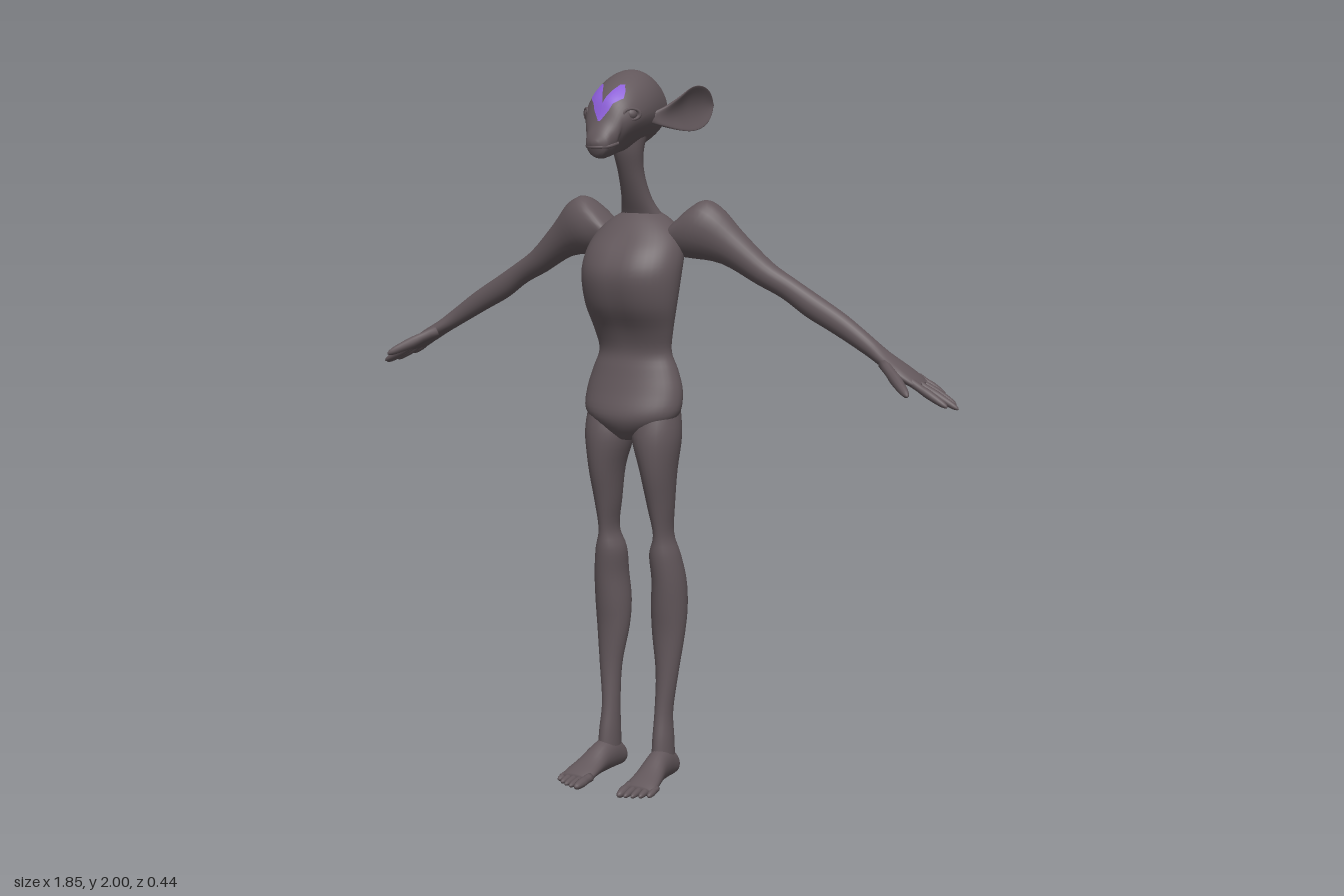
import * as THREE from 'three';

const X = [1, 0, 0], Y = [0, 1, 0], Z = [0, 0, 1];
const skin = new THREE.MeshStandardMaterial({ color: 0x62575b });
skin.name = 'dusky skin';
const violet = new THREE.MeshStandardMaterial({ color: 0x8a5cd6, side: THREE.DoubleSide });
violet.name = 'violet mark';

// Smooth interpolation through a list of equal-length number rows
function sample(rows, t) {
  const f = t * (rows.length - 1), i = Math.min(Math.floor(f), rows.length - 2), k = f - i;
  const at = (j) => rows[Math.max(0, Math.min(rows.length - 1, j))];
  const [a, b, c, d] = [at(i - 1), at(i), at(i + 1), at(i + 2)];
  return b.map((_, n) => b[n] + 0.5 * k * (c[n] - a[n]
    + k * (2 * a[n] - 5 * b[n] + 4 * c[n] - d[n] + k * (3 * (b[n] - c[n]) + d[n] - a[n]))));
}

// Skin elliptical sections [x, y, z, radiusU, radiusV] lying in the plane of U and V
function loft(name, rows, u, v, { seg = 24, sub = 4, warp = null, side = 1 } = {}) {
  rows = rows.map(([x, ...rest]) => [x * side, ...rest]);
  const U = new THREE.Vector3(u[0] * side, u[1], u[2]).normalize();
  const V = new THREE.Vector3(v[0] * side, v[1], v[2]).normalize();
  const first = new THREE.Vector3(...rows[0].slice(0, 3));
  const last = new THREE.Vector3(...rows[rows.length - 1].slice(0, 3));
  if (U.clone().cross(V).dot(last.clone().sub(first)) < 0) V.negate();
  const pos = [], idx = [], n = (rows.length - 1) * sub;
  for (let i = 0; i <= n; i++) {
    const [x, y, z, ru, rv] = sample(rows, i / n);
    for (let j = 0; j < seg; j++) {
      const a = (j / seg) * Math.PI * 2;
      const p = new THREE.Vector3(x, y, z)
        .addScaledVector(U, Math.max(ru, 0.001) * Math.cos(a))
        .addScaledVector(V, Math.max(rv, 0.001) * Math.sin(a));
      if (warp) warp(p, a, i / n);
      pos.push(p.x, p.y, p.z);
      if (i < n) {
        const k = i * seg + j, l = i * seg + (j + 1) % seg;
        idx.push(k, l, l + seg, k, l + seg, k + seg);
      }
    }
  }
  // Rounded-off ends
  pos.push(first.x, first.y, first.z, last.x, last.y, last.z);
  const c0 = (n + 1) * seg;
  for (let j = 0; j < seg; j++) {
    const k = (j + 1) % seg;
    idx.push(c0, k, j, c0 + 1, n * seg + j, n * seg + k);
  }
  const g = new THREE.BufferGeometry();
  g.setAttribute('position', new THREE.Float32BufferAttribute(pos, 3));
  g.setIndex(idx);
  g.computeVertexNormals();
  const mesh = new THREE.Mesh(g, skin);
  mesh.name = name;
  return mesh;
}

// Tapered finger or toe
function digit(name, a, b, r, side) {
  const d = b.map((n, i) => n - a[i]);
  const along = (t, k) => [...a.map((n, i) => n + d[i] * t), r * k, r * k];
  const rows = [along(0, 1), along(0.3, 0.9), along(0.5, 1), along(0.8, 0.8), along(0.95, 0.5), along(1, 0.1)];
  const D = new THREE.Vector3(...d), U = D.clone().cross(new THREE.Vector3(0.1, 1, 0)).normalize();
  return loft(name, rows, U.toArray(), D.cross(U).normalize().toArray(), { seg: 10, sub: 2, side });
}

// Torso from [y, half width, front z, back z]
function torso() {
  const rows = [
    [0.985, 0.03, 0.06, -0.03], [1.02, 0.1, 0.088, -0.055], [1.06, 0.143, 0.098, -0.07],
    [1.12, 0.147, 0.078, -0.077], [1.18, 0.13, 0.06, -0.07], [1.23, 0.112, 0.05, -0.056],
    [1.29, 0.122, 0.07, -0.052], [1.36, 0.138, 0.11, -0.062], [1.44, 0.147, 0.128, -0.085],
    [1.5, 0.145, 0.108, -0.104], [1.55, 0.128, 0.068, -0.11], [1.59, 0.09, 0.03, -0.1], [1.615, 0.045, 0, -0.08],
  ].map(([y, w, f, b]) => [0, y, (f + b) / 2, w, (f - b) / 2]);
  // Spine furrow and breastbone hollow
  const warp = (p) => {
    const band = THREE.MathUtils.smoothstep(p.y, 1.2, 1.36) * (1 - THREE.MathUtils.smoothstep(p.y, 1.52, 1.6));
    const groove = band * Math.exp(-((p.x / 0.035) ** 2));
    p.z += p.z < 0 ? groove * 0.028 : -groove * 0.006;
  };
  return loft('torso', rows, X, Z, { seg: 40, warp });
}

function head() {
  // [z, top, bottom, half width]
  const rows = [
    [-0.098, 1.89, 1.86, 0.012], [-0.085, 1.93, 1.83, 0.045], [-0.05, 1.972, 1.805, 0.074],
    [0, 1.997, 1.79, 0.085], [0.05, 1.995, 1.785, 0.088], [0.1, 1.974, 1.778, 0.084],
    [0.14, 1.946, 1.77, 0.075], [0.165, 1.918, 1.766, 0.06], [0.185, 1.868, 1.765, 0.048],
    [0.205, 1.836, 1.772, 0.038], [0.217, 1.812, 1.8, 0.01],
  ].map(([z, t, b, w]) => [0, (t + b) / 2, z, w, (t - b) / 2]);
  // Narrow the jaw
  const warp = (p) => { p.x *= 1 - 0.42 * THREE.MathUtils.smoothstep(1.88 - p.y, 0, 0.11) * (p.z < 0.17 ? 1 : 0.5); };
  return loft('head', rows, X, Y, { seg: 36, warp });
}

// Forked forehead mark laid just over the skull
function mark(skull, side) {
  const edge = [[1.862, 0, 0.003], [1.89, 0, 0.022], [1.908, 0, 0.03], [1.922, 0.004, 0.05], [1.94, 0.013, 0.046], [1.958, 0.026, 0.036]];
  const ray = new THREE.Raycaster(), pos = [], idx = [], n = 20, m = 6;
  for (let i = 0; i <= n; i++) {
    const f = (i / n) * (edge.length - 1), e = Math.min(Math.floor(f), edge.length - 2);
    const [y, a, b] = edge[e].map((q, k) => q + (edge[e + 1][k] - q) * (f - e));
    for (let j = 0; j <= m; j++) {
      const x = side * (a + (b - a) * j / m);
      ray.set(new THREE.Vector3(x, y, 1), new THREE.Vector3(0, 0, -1));
      const hit = ray.intersectObject(skull)[0];
      pos.push(x, y + 0.002, (hit ? hit.point.z : 0.12) + 0.004);
      if (i < n && j < m) {
        const k = i * (m + 1) + j, up = k + m + 1;
        if (side > 0) idx.push(k, k + 1, up + 1, k, up + 1, up);
        else idx.push(k, up + 1, k + 1, k, up, up + 1);
      }
    }
  }
  const g = new THREE.BufferGeometry();
  g.setAttribute('position', new THREE.Float32BufferAttribute(pos, 3));
  g.setIndex(idx);
  g.computeVertexNormals();
  const mesh = new THREE.Mesh(g, violet);
  mesh.name = 'foreheadMark';
  return mesh;
}

function eye(side) {
  const g = new THREE.Group();
  g.name = 'eye';
  const ball = new THREE.Mesh(new THREE.SphereGeometry(0.017, 16, 12), skin);
  ball.name = 'eyeball';
  const lid = new THREE.Mesh(new THREE.TorusGeometry(0.019, 0.005, 8, 24), skin);
  lid.name = 'eyelid';
  lid.scale.set(1.2, 0.75, 1);
  lid.position.z = 0.009;
  g.add(ball, lid);
  g.position.set(side * 0.063, 1.882, 0.132);
  g.rotation.y = side * 0.85;
  return g;
}

function ear(side) {
  const rows = [
    [0.07, 1.87, 0.05, 0.012, 0.01], [0.088, 1.872, 0.02, 0.026, 0.014], [0.098, 1.88, -0.03, 0.044, 0.012],
    [0.104, 1.892, -0.09, 0.06, 0.008], [0.11, 1.897, -0.15, 0.055, 0.006],
    [0.117, 1.899, -0.195, 0.034, 0.005], [0.123, 1.9, -0.222, 0.004, 0.003],
  ];
  // Cup the ear so both rims turn outward
  const warp = (p, a, t) => { p.x += side * 0.026 * Math.cos(a) ** 2 * Math.sin(Math.PI * t); };
  return loft('ear', rows, Y, X, { side, warp });
}

function arm(side) {
  const g = new THREE.Group();
  g.name = 'arm';
  g.add(loft('armAndPalm', [
    [0.06, 1.525, -0.05, 0.05, 0.05], [0.13, 1.568, -0.05, 0.09, 0.06], [0.19, 1.56, -0.05, 0.085, 0.06],
    [0.27, 1.52, -0.062, 0.053, 0.046], [0.36, 1.455, -0.077, 0.037, 0.035], [0.43, 1.415, -0.086, 0.032, 0.028],
    [0.5, 1.37, -0.093, 0.034, 0.028], [0.58, 1.325, -0.097, 0.031, 0.026], [0.66, 1.275, -0.097, 0.025, 0.025],
    [0.71, 1.243, -0.094, 0.021, 0.034], [0.76, 1.213, -0.092, 0.02, 0.047],
    [0.8, 1.188, -0.098, 0.016, 0.046], [0.82, 1.176, -0.1, 0.01, 0.036],
  ], [0.53, 0.85, 0], Z, { side }));
  [[-0.136, 0.865, -0.148, 1.148], [-0.113, 0.905, -0.125, 1.128], [-0.09, 0.923, -0.095, 1.122], [-0.068, 0.905, -0.062, 1.13]]
    .forEach(([z0, x, z, y]) => g.add(digit('finger', [0.79, 1.194, z0], [x, y, z], 0.012, side)));
  g.add(digit('thumb', [0.72, 1.232, -0.07], [0.83, 1.165, 0.028], 0.016, side));
  return g;
}

function leg(side) {
  const g = new THREE.Group();
  g.name = 'leg';
  // [y, inner x, outer x, front z, back z]
  g.add(loft('thighAndShin', [
    [1.09, 0.02, 0.135, 0.06, -0.06], [1, 0.006, 0.144, 0.085, -0.067], [0.9, 0.034, 0.132, 0.078, -0.053],
    [0.8, 0.05, 0.121, 0.053, -0.048], [0.715, 0.063, 0.114, 0.034, -0.048], [0.655, 0.045, 0.13, 0.034, -0.068],
    [0.58, 0.046, 0.141, 0.026, -0.086], [0.5, 0.04, 0.143, 0.018, -0.09], [0.42, 0.043, 0.138, 0.01, -0.077],
    [0.31, 0.06, 0.125, 0.01, -0.055], [0.2, 0.062, 0.112, 0.018, -0.046],
    [0.12, 0.06, 0.116, 0.032, -0.05], [0.05, 0.06, 0.118, 0.04, -0.055],
  ].map(([y, a, b, f, k]) => [(a + b) / 2, y, (f + k) / 2, (b - a) / 2, (f - k) / 2]), X, Z, { side }));
  g.add(loft('foot', [
    [0.086, 0.024, -0.072, 0.012, 0.014], [0.087, 0.035, -0.055, 0.03, 0.033], [0.089, 0.05, -0.01, 0.033, 0.048],
    [0.093, 0.047, 0.04, 0.035, 0.044], [0.099, 0.032, 0.095, 0.042, 0.029],
    [0.103, 0.022, 0.14, 0.047, 0.019], [0.105, 0.017, 0.165, 0.04, 0.011],
  ], X, Y, { side, warp: (p) => { p.y = Math.max(p.y, 0.004); } }));
  for (let i = 0; i < 5; i++) {
    const x = 0.067 + i * 0.019;
    g.add(digit('toe', [x, 0.02, 0.14 - i * 0.003], [x + 0.003, 0.011, 0.216 - i * i * 0.0022], i ? 0.0105 : 0.014, side));
  }
  return g;
}

export function createModel() {
  const model = new THREE.Group();
  model.name = 'longEaredCreature';
  const skull = head();
  skull.updateMatrixWorld();
  model.add(torso(), skull);
  model.add(loft('neck', [
    [0, 1.56, -0.052, 0.085, 0.045], [0, 1.6, -0.04, 0.064, 0.043], [0, 1.65, -0.01, 0.044, 0.036],
    [0, 1.72, 0.02, 0.036, 0.036], [0, 1.78, 0.036, 0.042, 0.042], [0, 1.83, 0.03, 0.05, 0.055],
  ], X, Z));
  // Lips
  const lips = new THREE.CatmullRomCurve3([[-0.043, 1.806, 0.165], [-0.032, 1.798, 0.198], [0, 1.796, 0.213],
    [0.032, 1.798, 0.198], [0.043, 1.806, 0.165]].map((p) => new THREE.Vector3(...p)));
  const mouth = new THREE.Mesh(new THREE.TubeGeometry(lips, 24, 0.005, 8), skin);
  mouth.name = 'mouth';
  model.add(mouth);
  for (const side of [1, -1]) model.add(eye(side), ear(side), mark(skull, side), arm(side), leg(side));
  return model;
}
